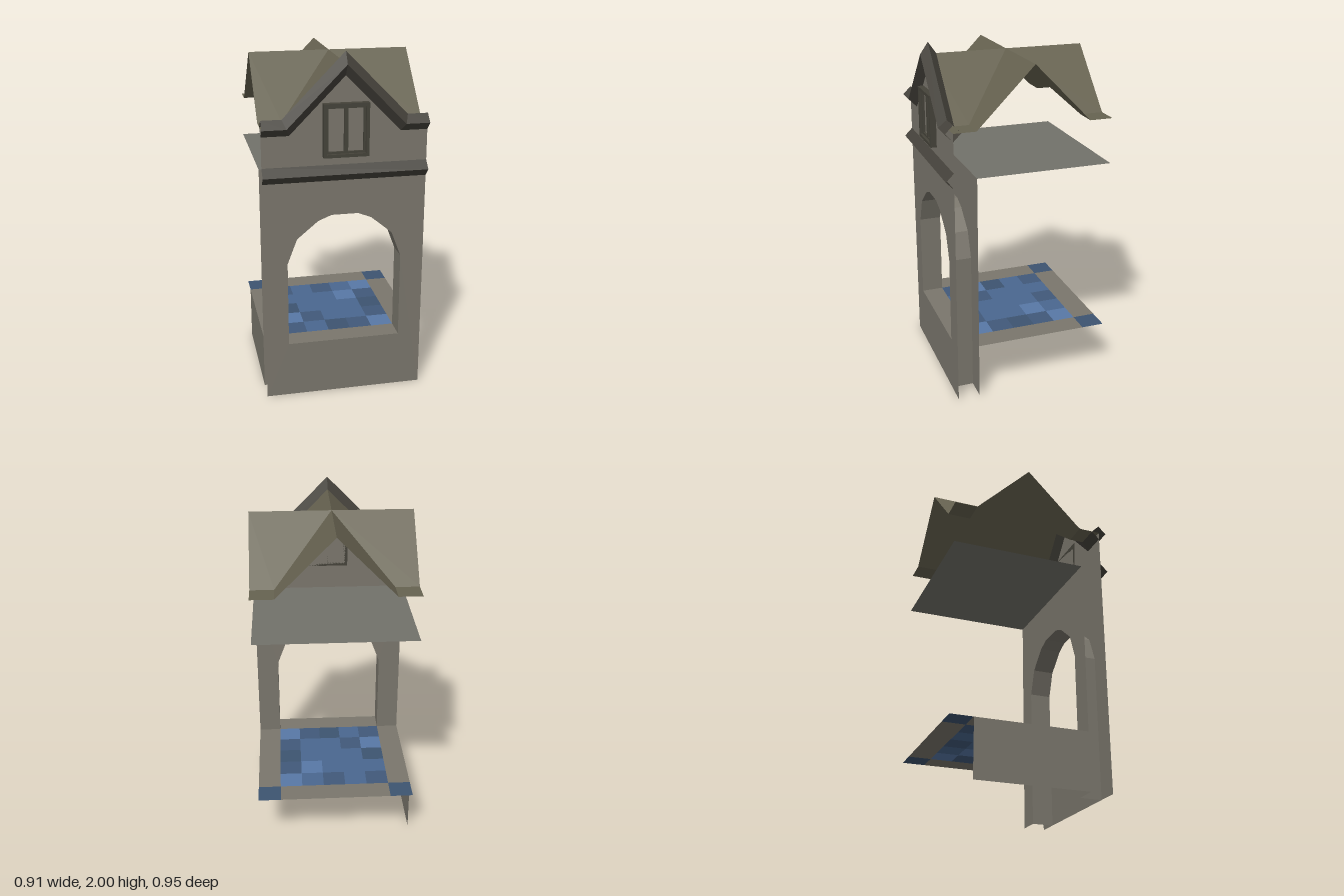
import * as THREE from 'three';

const W = 0.457;              // half width
const IN = 0.325;             // half width of arch opening and pool
const ZF = 0.4325, ZB = 0.305; // front and back faces of the wall
const ZE = -0.345, ZR = -0.4775; // inner and outer rear lines
const FLOOR = 0.33, CEIL = 1.35, EAVE = 1.61, RIDGE = 1.94, ZC = -0.02;

const mat = (color) => new THREE.MeshStandardMaterial({ color, flatShading: true, side: THREE.DoubleSide });
const wallMat = mat(0x7a766c), roofMat = mat(0x666250), trimMat = mat(0x45423b);
const frameMat = mat(0x45433a), ceilMat = mat(0x72716a);

function add(parent, name, geometry, material) {
  const mesh = new THREE.Mesh(geometry, material);
  mesh.name = name;
  parent.add(mesh);
  return mesh;
}

// Builds flat quads, each given as four corners counter-clockwise from outside
function quads(list) {
  const pos = [];
  for (const [a, b, c, d] of list) pos.push(...a, ...b, ...c, ...a, ...c, ...d);
  const g = new THREE.BufferGeometry();
  g.setAttribute('position', new THREE.Float32BufferAttribute(pos, 3));
  g.computeVertexNormals();
  return g;
}

// Horizontal rectangle facing up
const flat = (x0, x1, z0, z1, y) => [[x0, y, z1], [x1, y, z1], [x1, y, z0], [x0, y, z0]];

const shapeOf = (pts) => new THREE.Shape(pts.map(([x, y]) => new THREE.Vector2(x, y)));
const mirrored = (half) => [...half, ...half.filter((p) => p[0] !== 0).reverse().map(([x, y]) => [-x, y])];

// Sweeps a moulding section (z offset, rise) along an x-y path with mitred corners
function moulding(path, section) {
  const rows = path.map(([x, y], i) => {
    const a = path[Math.max(i - 1, 0)], b = path[i], c = path[Math.min(i + 1, path.length - 1)];
    const n1 = i > 0 ? new THREE.Vector2(a[1] - b[1], b[0] - a[0]).normalize() : null;
    const n2 = i < path.length - 1 ? new THREE.Vector2(b[1] - c[1], c[0] - b[0]).normalize() : null;
    const p = n1 || n2, q = n2 || n1;
    const m = p.clone().add(q).normalize();
    m.divideScalar(m.dot(p));
    return section.map(([dz, r]) => [x + m.x * r, y + m.y * r, ZF + dz]);
  });
  const list = [];
  for (let i = 0; i < rows.length - 1; i++)
    for (let j = 0; j < section.length - 1; j++)
      list.push([rows[i][j], rows[i][j + 1], rows[i + 1][j + 1], rows[i + 1][j]]);
  return quads(list);
}

function buildWall(parent) {
  const arch = mirrored([[IN, 0.83], [0.27, 0.975], [0.15, 1.075], [0.075, 1.105]]);
  const opening = [[IN, FLOOR], ...arch, [-IN, FLOOR]];

  // Gabled front face with the arched opening
  const front = shapeOf([[-W, 0], [W, 0], [W, EAVE], [IN, EAVE], [0, RIDGE], [-IN, EAVE], [-W, EAVE]]);
  front.holes.push(new THREE.Path(opening.map(([x, y]) => new THREE.Vector2(x, y))));
  add(parent, 'frontWall', new THREE.ShapeGeometry(front), wallMat).position.z = ZF;

  // Rear face of the wall, open down to the ground
  const back = shapeOf([[-W, 0], [-IN, 0], ...[...arch].reverse(), [IN, 0], [W, 0], [W, CEIL], [-W, CEIL]]);
  const backGeo = new THREE.ShapeGeometry(back).rotateY(Math.PI);
  add(parent, 'rearWallFace', backGeo, wallMat).position.z = ZB;

  // Jambs and underside of the arch
  const path = [[IN, 0], ...arch, [-IN, 0]];
  const reveal = path.slice(1).map((p, i) => {
    const q = path[i];
    return [[...q, ZF], [...q, ZB], [...p, ZB], [...p, ZF]];
  });
  add(parent, 'archReveal', quads(reveal), wallMat);
  add(parent, 'sill', quads([flat(-IN, IN, ZB, ZF, FLOOR)]), wallMat);
}

function buildFloor(parent) {
  add(parent, 'floorBorder', quads([
    flat(-W, -IN, ZE, ZB, FLOOR),
    flat(IN, W, ZE, ZB, FLOOR),
    flat(-IN, IN, ZR, ZE, FLOOR),
  ]), wallMat);
  // Side panel below the floor
  add(parent, 'basePanel', quads([
    [[-W, 0, ZB], [-W, 0, ZE], [-W, FLOOR, ZE], [-W, FLOOR, ZB]].reverse(),
  ]), wallMat);

  // Patchwork of blue tiles
  const blues = [0x41597a, 0x4a678f, 0x5878a6, 0x3d5470];
  const pattern = ['01012', '11120', '31113', '20110', '01302'];
  const groups = blues.map(() => []);
  const s = (2 * IN) / 5;
  pattern.forEach((row, r) => [...row].forEach((k, c) => {
    const x = -IN + c * s, z = ZE + r * s;
    groups[+k].push(flat(x, x + s, z, z + s, FLOOR));
  }));
  groups[3].push(flat(-W, -IN, ZR, ZE, FLOOR), flat(IN, W, ZR, ZE, FLOOR));
  groups.forEach((g, i) => add(parent, 'floorTiles' + (i + 1), quads(g), mat(blues[i])));

  add(parent, 'ceiling', quads([flat(-W, W, ZR, ZB, CEIL)]), ceilMat);
}

function buildRoof(parent) {
  // Two crossing gables with level pieces at the four corners
  const list = [];
  for (const sx of [1, -1]) {
    for (const [zValley, zEnd] of [[ZB, ZF], [ZE, ZR]]) {
      const sz = Math.sign(zEnd - ZC);
      const top = [0, RIDGE, ZC], valley = [sx * IN, EAVE, zValley];
      const faces = [
        [[0, RIDGE, zEnd], [sx * IN, EAVE, zEnd], valley, top],
        [top, valley, [sx * W, EAVE, zValley], [sx * W, RIDGE, ZC]],
        [valley, [sx * IN, EAVE, zEnd], [sx * W, EAVE, zEnd], [sx * W, EAVE, zValley]],
      ];
      for (const f of faces) list.push(sx * sz > 0 ? f : f.reverse());
    }
  }
  add(parent, 'crossGableRoof', quads(list), roofMat);
}

function buildTrim(parent) {
  const d = 0.045;
  const gable = [[-W, EAVE], [-IN, EAVE], [0, RIDGE], [IN, EAVE], [W, EAVE]];
  add(parent, 'gableTrim', moulding(gable, [[0, d], [d, 0], [0, -d], [-d, 0], [0, d]]), trimMat);
  add(parent, 'beltMoulding', moulding([[-W, 1.348], [W, 1.348]], [[0, d], [d, 0], [0, -d]]), trimMat);
}

function buildWindow(parent) {
  const win = new THREE.Group();
  win.name = 'gableWindow';
  win.position.set(0, 1.587, ZF);
  parent.add(win);
  const rect = (cx, w, h) => [[cx - w, -h], [cx + w, -h], [cx + w, h], [cx - w, h]];
  const frame = (cx, w, h, t, depth, name) => {
    const s = shapeOf(rect(cx, w, h));
    s.holes.push(shapeOf(rect(cx, w - t, h - t)));
    add(win, name, new THREE.ExtrudeGeometry(s, { depth, bevelEnabled: false }), frameMat);
  };
  frame(0, 0.125, 0.147, 0.018, 0.035, 'windowFrame');
  for (const sx of [1, -1]) {
    frame(sx * 0.0535, 0.0535, 0.129, 0.011, 0.02, 'sash');
    add(win, 'pane', new THREE.PlaneGeometry(0.085, 0.236), wallMat).position.set(sx * 0.0535, 0, 0.006);
  }
}

export function createModel() {
  const model = new THREE.Group();
  model.name = 'gabledArchBuilding';
  for (const build of [buildWall, buildFloor, buildRoof, buildTrim, buildWindow]) build(model);
  return model;
}
